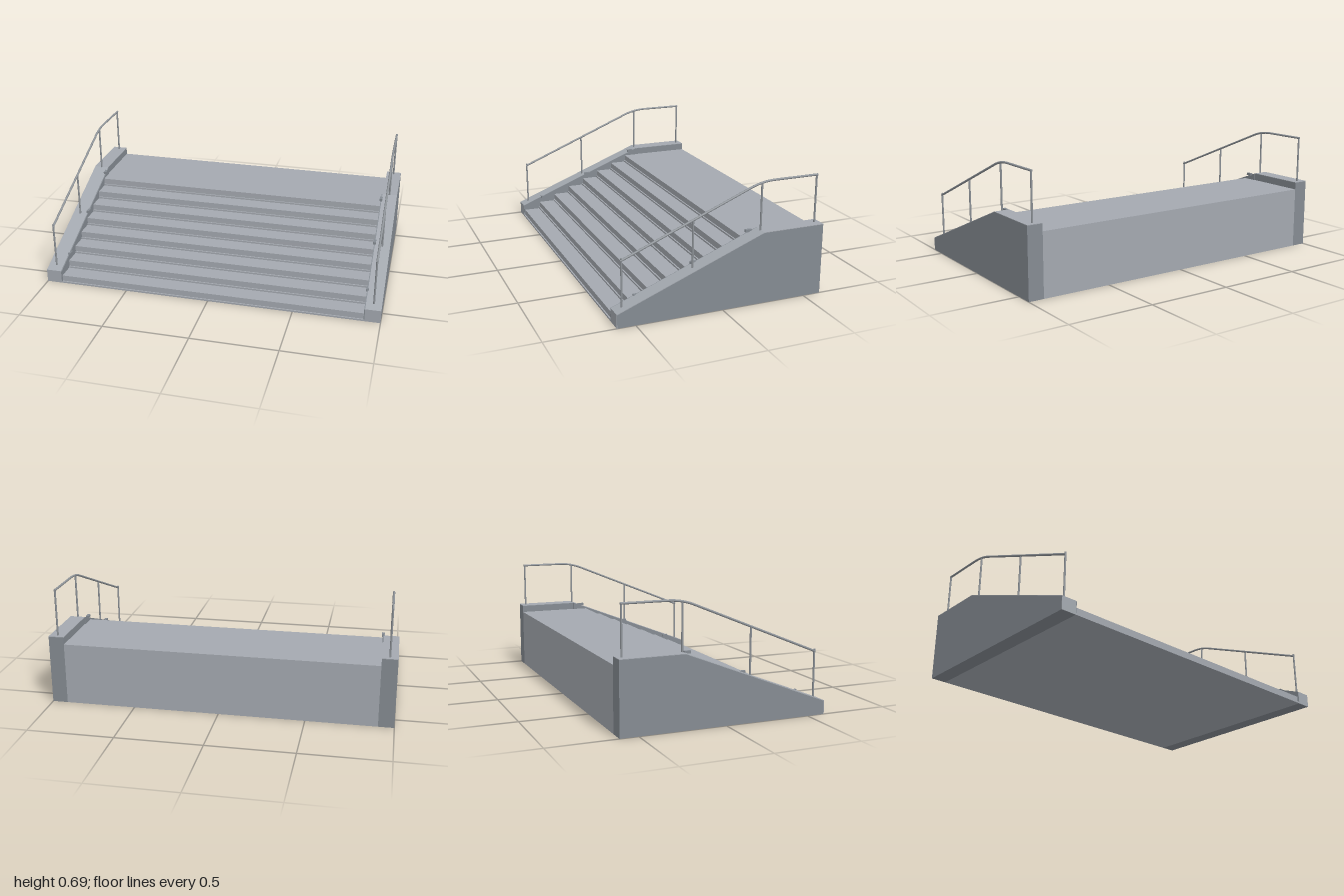
import * as THREE from 'three';

// Extrude a (z, y) profile along x, from x0 over a given width
function extrudeX(points, x0, width) {
  const shape = new THREE.Shape(points.map(([z, y]) => new THREE.Vector2(-z, y)));
  const geo = new THREE.ExtrudeGeometry(shape, { depth: width, bevelEnabled: false });
  geo.rotateY(Math.PI / 2);
  geo.translate(x0, 0, 0);
  return geo;
}

export function createModel() {
  const root = new THREE.Group();
  const material = (name, color) => {
    const m = new THREE.MeshStandardMaterial({ color });
    m.name = name;
    return m;
  };
  const concrete = material('concrete', 0xa4a9b0);
  const wallGrey = material('wallGrey', 0x858b92);
  const steel = material('steel', 0x8e9398);
  const add = (parent, name, geo, mat) => {
    const mesh = new THREE.Mesh(geo, mat);
    mesh.name = name;
    parent.add(mesh);
    return mesh;
  };

  // Stairs and landing as a single stepped profile
  const count = 8, rise = 0.365 / count, run = 0.107, front = 0.597, back = -0.605;
  const inner = 0.91;
  const steps = [[back, 0], [front, 0]];
  for (let i = 0; i < count; i++) {
    const z = front - i * run;
    steps.push([z, (i + 1) * rise]);
    steps.push([i === count - 1 ? back : z - run, (i + 1) * rise]);
  }
  add(root, 'stepsAndLanding', extrudeX(steps, -inner, inner * 2), concrete);

  // Small lip along the foot of every riser
  for (let i = 0; i < count; i++) {
    const lip = add(root, 'riserLip', new THREE.BoxGeometry(inner * 2, 0.01, 0.008), concrete);
    lip.position.set(0, i * rise + 0.005, front - i * run + 0.004);
  }

  // Side walls, with paler coping over the front, slope and top
  const t = 0.003;
  const wall = [[back, 0], [0.605 - t, 0], [0.605 - t, 0.078 - t], [-0.24, 0.41 - t], [back, 0.41 - t]];
  const coping = [
    [0.605, 0], [0.605, 0.078], [-0.24, 0.41], [back, 0.41],
    [back, 0.41 - t], [-0.24, 0.41 - t], [0.605 - t, 0.078 - t], [0.605 - t, 0],
  ];
  const skirt = [[0.604, 0], [0.604, 0.077], [-0.24, 0.409], [-0.24, 0.3]];

  // Handrail path: straight slope, eased bend, level run
  const rail = new THREE.CurvePath();
  const v = (z, y) => new THREE.Vector3(0, y, z);
  rail.add(new THREE.LineCurve3(v(0.565, 0.351), v(-0.16, 0.649)));
  rail.add(new THREE.QuadraticBezierCurve3(v(-0.16, 0.649), v(-0.236, 0.683), v(-0.32, 0.683)));
  rail.add(new THREE.LineCurve3(v(-0.32, 0.683), v(-0.581, 0.683)));
  const posts = [[0.56, 0.09, 0.365], [0.16, 0.245, 0.518], [-0.24, 0.405, 0.676], [-0.575, 0.405, 0.683]];

  for (const side of [1, -1]) {
    const label = side > 0 ? 'left' : 'right';
    const x0 = side > 0 ? inner : -1;
    add(root, label + 'Wall', extrudeX(wall, x0, 1 - inner), wallGrey);
    add(root, label + 'Coping', extrudeX(coping, x0, 1 - inner), concrete);
    add(root, label + 'Skirt', extrudeX(skirt, side > 0 ? 0.905 : -inner, 0.005), wallGrey);

    // Step lights on the inner face, every third step
    for (let i = 0; i < 3; i++) {
      const lamp = add(root, label + 'StepLight', new THREE.BoxGeometry(0.016, 0.015, 0.038), wallGrey);
      lamp.position.set(side * 0.907, 0.126 + i * 0.1355, 0.46 - i * 0.325);
    }

    // Handrail and its posts
    const handrail = new THREE.Group();
    handrail.name = label + 'Handrail';
    handrail.position.x = side * 0.954;
    root.add(handrail);
    add(handrail, 'rail', new THREE.TubeGeometry(rail, 64, 0.0065, 12), steel);
    for (const [z, y0, y1] of posts) {
      const post = add(handrail, 'post', new THREE.CylinderGeometry(0.0055, 0.0055, y1 - y0, 12), steel);
      post.position.set(0, (y0 + y1) / 2, z);
    }
    const end = add(handrail, 'railEnd', new THREE.CircleGeometry(0.0065, 12), steel);
    end.position.set(0, 0.683, -0.581);
    end.rotation.y = Math.PI;
  }
  return root;
}
